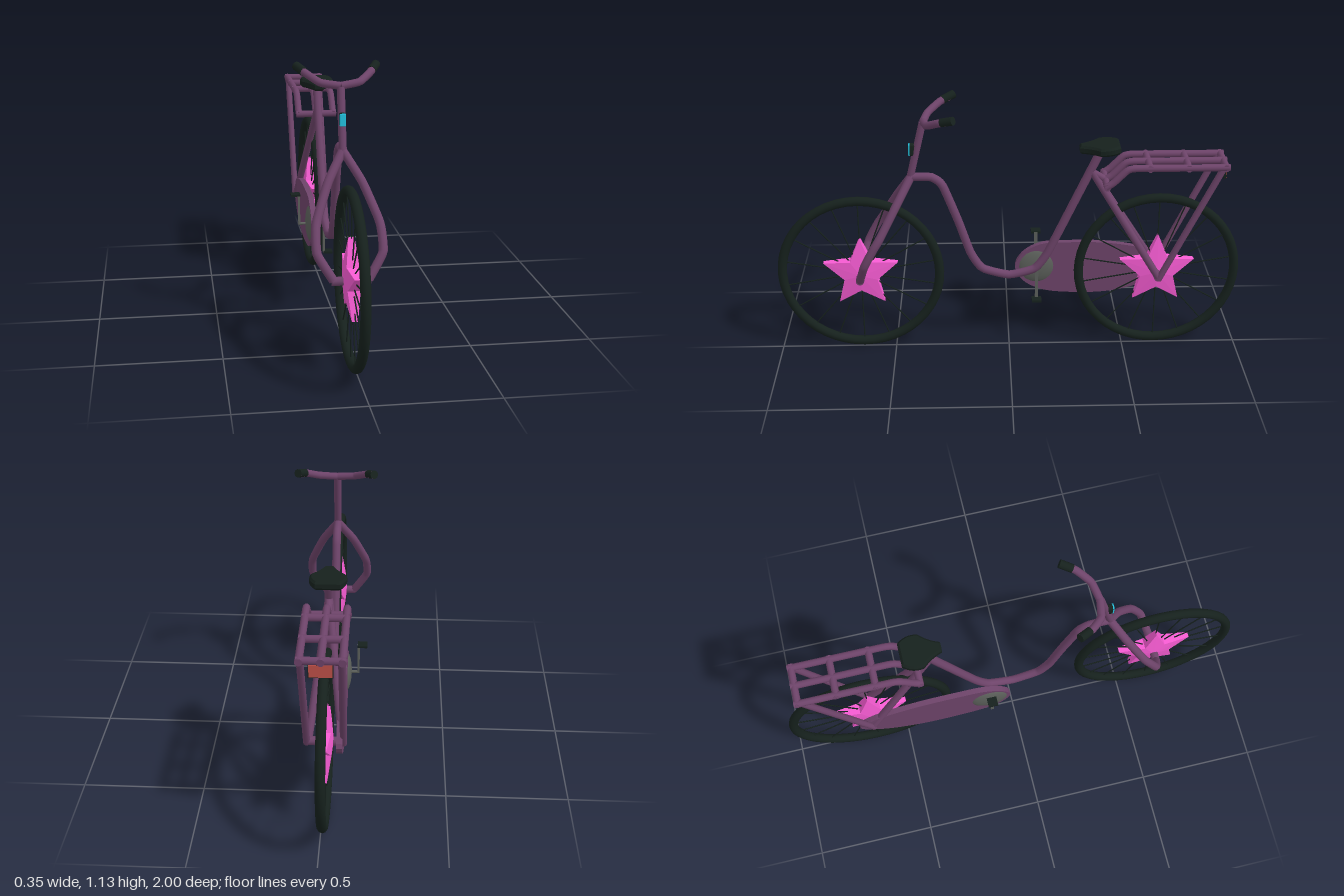
import * as THREE from 'three';
import { mergeGeometries } from 'three/addons/utils/BufferGeometryUtils.js';
import { RoundedBoxGeometry } from 'three/addons/geometries/RoundedBoxGeometry.js';

const mat = (color, extra = {}) => Object.assign(new THREE.MeshStandardMaterial({ color }), extra);
const purple = mat(0x6e446a), black = mat(0x16211d), grey = mat(0x5c605b);
const pink = mat(0xf85cd4, { flatShading: true }), cyan = mat(0x22c4e0), red = mat(0xc05048);
const V = (p) => new THREE.Vector3(...p);
const flip = ([x, y, z]) => [-x, y, z];

export function createModel() {
  const root = new THREE.Group();
  root.name = 'bicycle';
  const bike = new THREE.Group();
  bike.name = 'bike';
  bike.position.x = -0.012;
  root.add(bike);

  const add = (name, geometry, material, pos = [0, 0, 0], parent = bike) => {
    const mesh = new THREE.Mesh(geometry, material);
    mesh.name = name;
    mesh.position.set(...pos);
    parent.add(mesh);
    return mesh;
  };

  // Capped round tube through a few points
  const tube = (name, points, r, material = purple, parent = bike, sides = 10) => {
    const pts = points.map(V);
    const straight = pts.length === 2;
    const curve = straight ? new THREE.LineCurve3(...pts)
      : new THREE.CatmullRomCurve3(pts, false, 'catmullrom', 0.25);
    const parts = [new THREE.TubeGeometry(curve, straight ? 1 : pts.length * 6, r, sides)];
    for (const t of [0, 1]) {
      const dir = curve.getTangent(t).multiplyScalar(t ? 1 : -1);
      const q = new THREE.Quaternion().setFromUnitVectors(new THREE.Vector3(0, 0, 1), dir);
      const end = curve.getPoint(t);
      parts.push(new THREE.CircleGeometry(r, sides).applyQuaternion(q).translate(end.x, end.y, end.z));
    }
    return add(name, mergeGeometries(parts), material, [0, 0, 0], parent);
  };
  // The same tube on both sides
  const pair = (name, points, r, material) => {
    tube(name + 'Left', points, r, material);
    tube(name + 'Right', points.map(flip), r, material);
  };

  // Five-pointed hub cover: puffed faces joined by a wall round the rim
  const starGeometry = () => {
    const pos = [];
    const rim = (i, side) => {
      const a = Math.PI / 2 + i * Math.PI / 5, r = i % 2 ? 0.075 : 0.168;
      return [Math.cos(a) * r, Math.sin(a) * r, side * (i % 2 ? 0.025 : 0.012)];
    };
    for (let i = 0; i < 10; i++) {
      const a = rim(i, 1), b = rim(i + 1, 1), c = rim(i, -1), d = rim(i + 1, -1);
      pos.push(0, 0, 0.034, ...a, ...b, 0, 0, -0.034, ...d, ...c);
      pos.push(...a, ...c, ...b, ...b, ...c, ...d);
    }
    const g = new THREE.BufferGeometry();
    g.setAttribute('position', new THREE.Float32BufferAttribute(pos, 3));
    g.computeVertexNormals();
    return g;
  };

  // Wheels: tyre, spokes, star and axle
  for (const [name, z] of [['frontWheel', 0.64], ['rearWheel', -0.64]]) {
    const wheel = new THREE.Group();
    wheel.name = name;
    wheel.position.set(0, 0.361, z);
    wheel.rotation.y = Math.PI / 2;
    bike.add(wheel);
    add('tyre', new THREE.TorusGeometry(0.339, 0.02, 10, 48), black, [0, 0, 0], wheel);
    const spokes = [];
    for (let i = 0; i < 18; i++) {
      spokes.push(new THREE.CylinderGeometry(0.003, 0.003, 0.32, 5)
        .translate(0, 0.165, 0).rotateZ(i * Math.PI / 9));
    }
    add('spokes', mergeGeometries(spokes), black, [0, 0, 0], wheel);
    add('star', starGeometry(), pink, [0, 0, 0], wheel);
    tube('axle', [[0, -0.006, -0.075], [0, -0.006, 0.075]], 0.018, purple, wheel);
  }

  // Step-through main tube, running up into the seat post
  tube('mainTube', [[0, 0.81, 0.41], [0, 0.807, 0.325], [0, 0.77, 0.28], [0, 0.6, 0.215],
    [0, 0.45, 0.165], [0, 0.375, 0.115], [0, 0.342, 0], [0, 0.37, -0.11], [0, 0.445, -0.165],
    [0, 0.68, -0.273], [0, 0.925, -0.385]], 0.018);

  // Bowed front fork, stem and handlebar
  pair('fork', [[0, 0.81, 0.41], [0.067, 0.7, 0.475], [0.118, 0.575, 0.545],
    [0.127, 0.535, 0.57], [0.127, 0.455, 0.612], [0.068, 0.357, 0.64]], 0.018);
  tube('stem', [[0, 0.8, 0.415], [0, 1.05, 0.355]], 0.016);
  pair('handlebar', [[0, 1.055, 0.352], [0.077, 1.066, 0.335], [0.128, 1.095, 0.285],
    [0.147, 1.106, 0.25]], 0.016);
  pair('grip', [[0.135, 1.1, 0.274], [0.161, 1.117, 0.226]], 0.018, black);

  // Headlight on the stem
  add('headlightBody', new RoundedBoxGeometry(0.027, 0.052, 0.026, 2, 0.008), black, [0, 0.932, 0.402]);
  add('headlightLens', new RoundedBoxGeometry(0.025, 0.05, 0.008, 2, 0.003), cyan, [0, 0.932, 0.413]);

  // Saddle: teardrop outline with a chamfered edge, nose slightly down
  const outline = new THREE.Shape();
  outline.moveTo(0.014, 0.09);
  outline.quadraticCurveTo(0.03, 0.045, 0.063, 0.012);
  outline.quadraticCurveTo(0.072, -0.03, 0.045, -0.062);
  outline.lineTo(-0.045, -0.062);
  outline.quadraticCurveTo(-0.072, -0.03, -0.063, 0.012);
  outline.quadraticCurveTo(-0.03, 0.045, -0.014, 0.09);
  outline.closePath();
  const saddle = add('saddle', new THREE.ExtrudeGeometry(outline, {
    depth: 0.018, bevelThickness: 0.009, bevelSize: 0.008, bevelSegments: 1, curveSegments: 6,
  }), black, [0, 0.943, -0.39]);
  saddle.rotation.x = Math.PI / 2 + 0.06;

  // Rear stays and carrier with two side rails and a middle rail
  pair('seatStay', [[0, 0.83, -0.345], [0.066, 0.355, -0.64]], 0.016);
  pair('rackStrut', [[0.075, 0.865, -0.885], [0.072, 0.345, -0.64]], 0.014);
  for (const x of [-0.078, 0, 0.078]) {
    tube('rackRail', [[x, 0.785, -0.4], [x, 0.805, -0.43], [x, 0.86, -0.485],
      [x, 0.869, -0.52], [x, 0.869, -0.7], [x, 0.869, -0.91]], 0.015);
  }
  for (const [y, z] of [[0.787, -0.405], [0.869, -0.58], [0.869, -0.74], [0.869, -0.895]]) {
    tube('rackCrossbar', [[-0.09, y, z], [0.09, y, z]], 0.015);
  }
  tube('rackBracket', [[0, 0.825, -0.345], [0, 0.787, -0.405]], 0.015);
  add('reflectorHolder', new THREE.BoxGeometry(0.092, 0.056, 0.009), black, [0, 0.832, -0.899]);
  add('reflector', new THREE.BoxGeometry(0.086, 0.05, 0.003), red, [0, 0.832, -0.904]);

  // Chain case on one side, long and narrowing to the hub
  const caseShape = new THREE.Shape(new THREE.CatmullRomCurve3([
    [-0.027, 0.355], [-0.06, 0.42], [-0.14, 0.465], [-0.25, 0.472], [-0.45, 0.465], [-0.62, 0.425],
    [-0.7, 0.36], [-0.62, 0.285], [-0.45, 0.232], [-0.25, 0.228], [-0.14, 0.245], [-0.06, 0.29],
  ].map(([z, y]) => new THREE.Vector3(z, y, 0)), true).getPoints(48)
    .slice(0, -1).map((p) => new THREE.Vector2(p.x, p.y)));
  const chainCase = add('chainCase', new THREE.ExtrudeGeometry(caseShape,
    { depth: 0.024, bevelEnabled: false }), purple, [-0.045, 0, 0]);
  chainCase.rotation.y = -Math.PI / 2;

  // Lens-shaped chainring, cranks and pedals
  const ring = add('chainring', new THREE.SphereGeometry(0.086, 24, 12), grey, [-0.058, 0.357, -0.12]);
  ring.scale.x = 0.31;
  tube('crankAxle', [[-0.114, 0.357, -0.12], [-0.002, 0.357, -0.12]], 0.006, grey);
  for (const s of [-1, 1]) {
    const x = -0.058 + s * 0.055, y = 0.357 - s * 0.133;
    add('crank', new THREE.BoxGeometry(0.009, 0.138, 0.014), grey, [x, (y + 0.357) / 2, -0.12]);
    add('pedal', new THREE.BoxGeometry(0.04, 0.009, 0.042), black, [x + s * 0.016, y, -0.12]);
  }
  return root;
}
